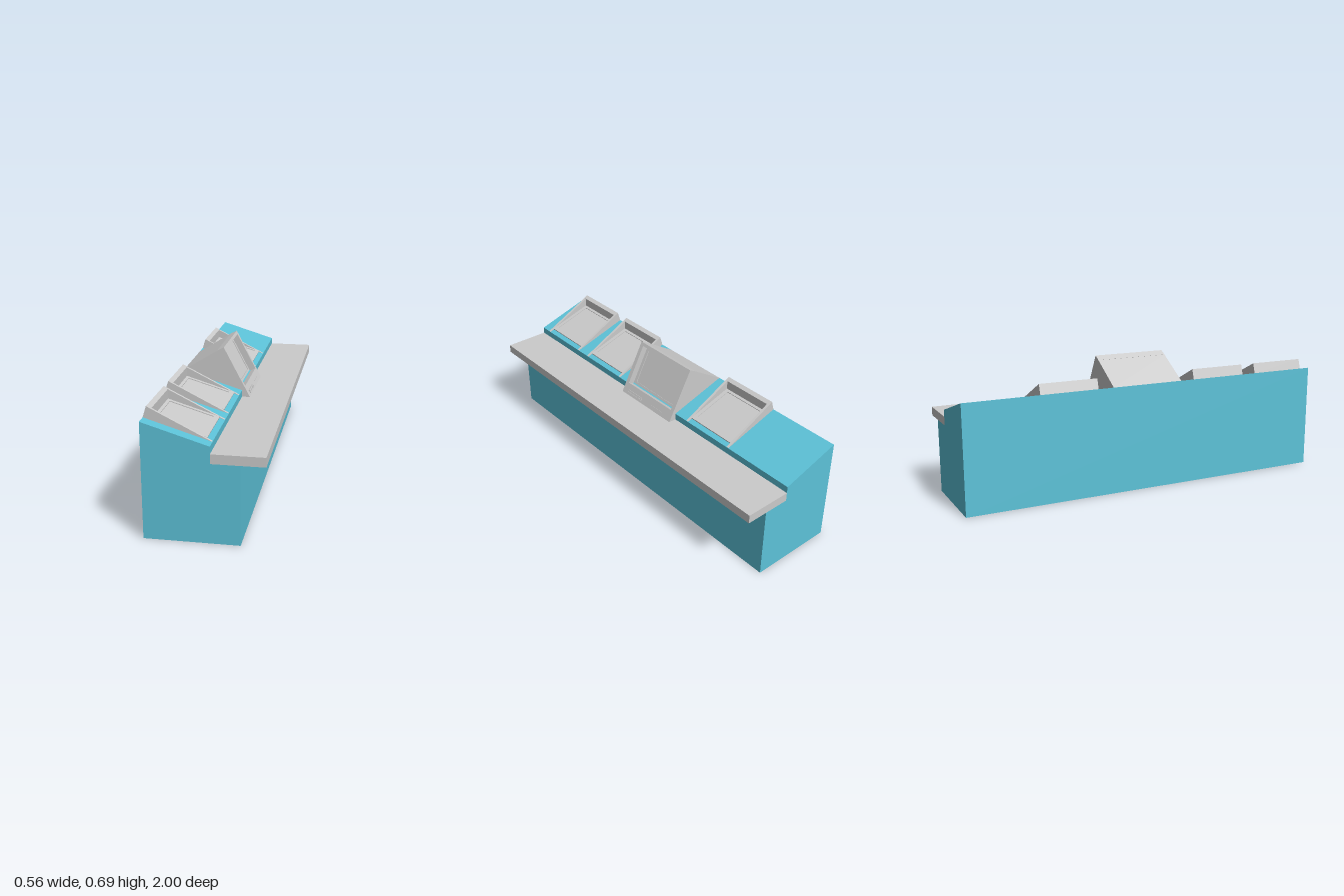
import * as THREE from 'three';

const grey = new THREE.MeshStandardMaterial({ color: 0xcccccc, flatShading: true });
const teal = new THREE.MeshStandardMaterial({ color: 0x5dc3d9, flatShading: true });

function add(parent, name, geometry, material = grey) {
  const mesh = new THREE.Mesh(geometry, material);
  mesh.name = name;
  parent.add(mesh);
  return mesh;
}

// Side profile in x, y swept from z0 to z1
function prism(points, z0, z1) {
  const shape = new THREE.Shape(points.map(([x, y]) => new THREE.Vector2(x, y)));
  return new THREE.ExtrudeGeometry(shape, { depth: z1 - z0, bevelEnabled: false }).translate(0, 0, z0);
}

function rect(path, x0, y0, x1, y1) {
  path.moveTo(x0, y0).lineTo(x1, y0).lineTo(x1, y1).lineTo(x0, y1).closePath();
  return path;
}

// Rectangular frame with a rectangular opening, from local z0 to z1
function frame(outer, inner, z0, z1) {
  const shape = rect(new THREE.Shape(), ...outer);
  shape.holes.push(rect(new THREE.Path(), ...inner));
  return new THREE.ExtrudeGeometry(shape, { depth: z1 - z0, bevelEnabled: false }).translate(0, 0, z0);
}

function block(x0, y0, x1, y1, z0, z1) {
  return new THREE.BoxGeometry(x1 - x0, y1 - y0, z1 - z0)
    .translate((x0 + x1) / 2, (y0 + y1) / 2, (z0 + z1) / 2);
}

// Group lying on a slanted face: local y runs up the slope, local z points out
function slopeGroup(name, from, to, z) {
  const group = new THREE.Group();
  group.name = name;
  const up = new THREE.Vector3(to[0] - from[0], to[1] - from[1], 0).normalize();
  const out = new THREE.Vector3(up.y, -up.x, 0);
  group.applyMatrix4(new THREE.Matrix4().makeBasis(new THREE.Vector3(0, 0, -1), up, out));
  group.position.set(from[0], from[1], z);
  return group;
}

// Low wedge-shaped display sunk behind raised side and back walls
function createDisplay(z) {
  const group = new THREE.Group();
  group.name = 'wedgeDisplay';
  const half = 0.154, wall = 0.014;
  const side = [[-0.278, 0.555], [0.03, 0.4606], [-0.262, 0.607]];
  add(group, 'sideWall', prism(side, z - half, z - half + wall));
  add(group, 'sideWall', prism(side, z + half - wall, z + half));
  add(group, 'backWall', prism(
    [[-0.278, 0.555], [-0.24, 0.5434], [-0.24, 0.596], [-0.262, 0.607]], z - half + wall, z + half - wall));
  const floor = slopeGroup('displayFloor', [0.005, 0.4683], [-0.278, 0.555], z);
  const w = half - wall;
  add(floor, 'bezel', frame([-w, 0, w, 0.258], [-0.12, 0.026, 0.12, 0.243], 0, 0.007));
  add(floor, 'screen', block(-0.12, 0.026, 0.12, 0.243, 0, 0.003));
  group.add(floor);
  return group;
}

// Large upright console with a recessed screen
function createConsole() {
  const group = new THREE.Group();
  group.name = 'mainConsole';
  add(group, 'consoleHousing', prism([[-0.278, 0.555], [0.038, 0.406], [-0.099, 0.666]], -0.22, 0.17));
  const face = slopeGroup('consoleFace', [0.073, 0.425], [-0.064, 0.685], -0.025);
  add(face, 'faceFrame', frame([-0.195, 0, 0.195, 0.294], [-0.173, 0.06, 0.173, 0.277], -0.04, 0));
  add(face, 'screenBezel', frame([-0.173, 0.06, 0.173, 0.277], [-0.155, 0.078, 0.155, 0.261], -0.04, -0.035));
  add(face, 'screen', block(-0.155, 0.078, 0.155, 0.261, -0.042, -0.039));
  // Drive slot and narrow card slot below the screen
  add(face, 'driveSlot', frame([-0.155, 0.01, -0.042, 0.028], [-0.15, 0.016, -0.047, 0.022], 0, 0.005));
  add(face, 'driveButton', block(-0.07, 0.012, -0.055, 0.018, 0, 0.007));
  add(face, 'cardSlot', block(0.035, 0.019, 0.125, 0.024, 0, 0.002));
  group.add(face);
  return group;
}

export function createModel() {
  const model = new THREE.Group();
  model.name = 'controlDesk';

  // Cabinet with sloping top, and the worktop along its front
  add(model, 'cabinet', prism(
    [[-0.278, 0], [0.166, 0], [0.166, 0.38], [0.032, 0.38], [0.032, 0.46], [-0.278, 0.555]], -1, 1), teal);
  add(model, 'worktop', prism([[0.032, 0.38], [0.277, 0.38], [0.277, 0.425], [0.032, 0.425]], -1, 1));

  model.add(createConsole());
  for (const z of [0.787, 0.4, -0.457]) model.add(createDisplay(z));
  return model;
}
